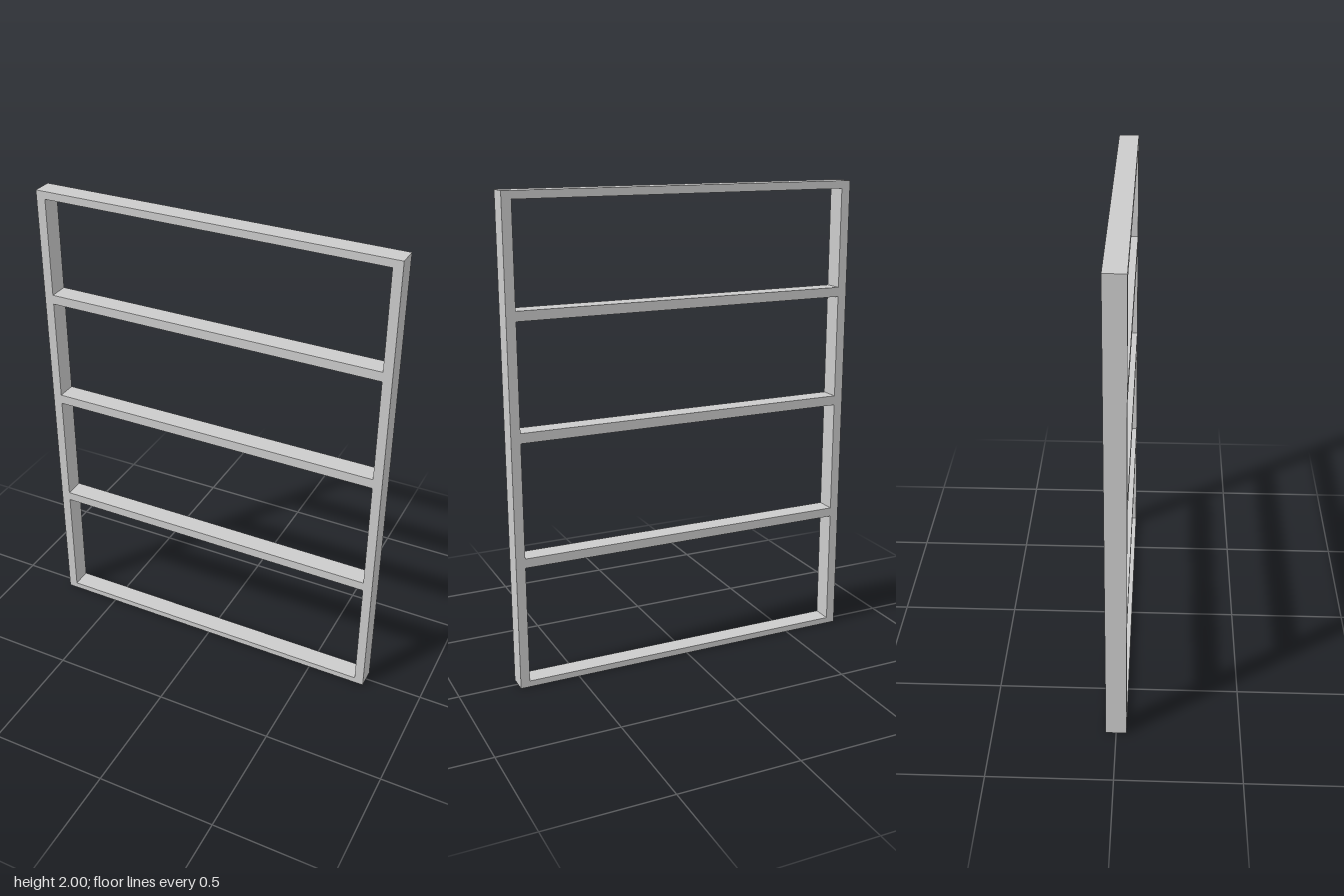
import * as THREE from 'three';

const WIDTH = 1.506, HEIGHT = 2, DEPTH = 0.084, POST = 0.039;

export function createModel() {
  const model = new THREE.Group();
  model.name = 'shelfFrame';
  const material = new THREE.MeshStandardMaterial({ color: 0xcccccc, flatShading: true });

  const addBoard = (name, width, bottom, top, x = 0) => {
    const board = new THREE.Mesh(new THREE.BoxGeometry(width, top - bottom, DEPTH), material);
    board.name = name;
    board.position.set(x, (bottom + top) / 2, 0);
    model.add(board);
  };

  // Full-height side posts
  for (const [name, side] of [['leftPost', 1], ['rightPost', -1]]) {
    addBoard(name, POST, 0, HEIGHT, side * (WIDTH - POST) / 2);
  }

  // Horizontal boards fitted between the posts: [name, bottom, top]
  const boards = [
    ['bottomRail', 0, 0.026],
    ['lowerShelf', 0.522, 0.561],
    ['middleShelf', 1.038, 1.079],
    ['upperShelf', 1.515, 1.555],
    ['topRail', 1.968, HEIGHT],
  ];
  for (const [name, bottom, top] of boards) addBoard(name, WIDTH - 2 * POST, bottom, top);

  return model;
}
